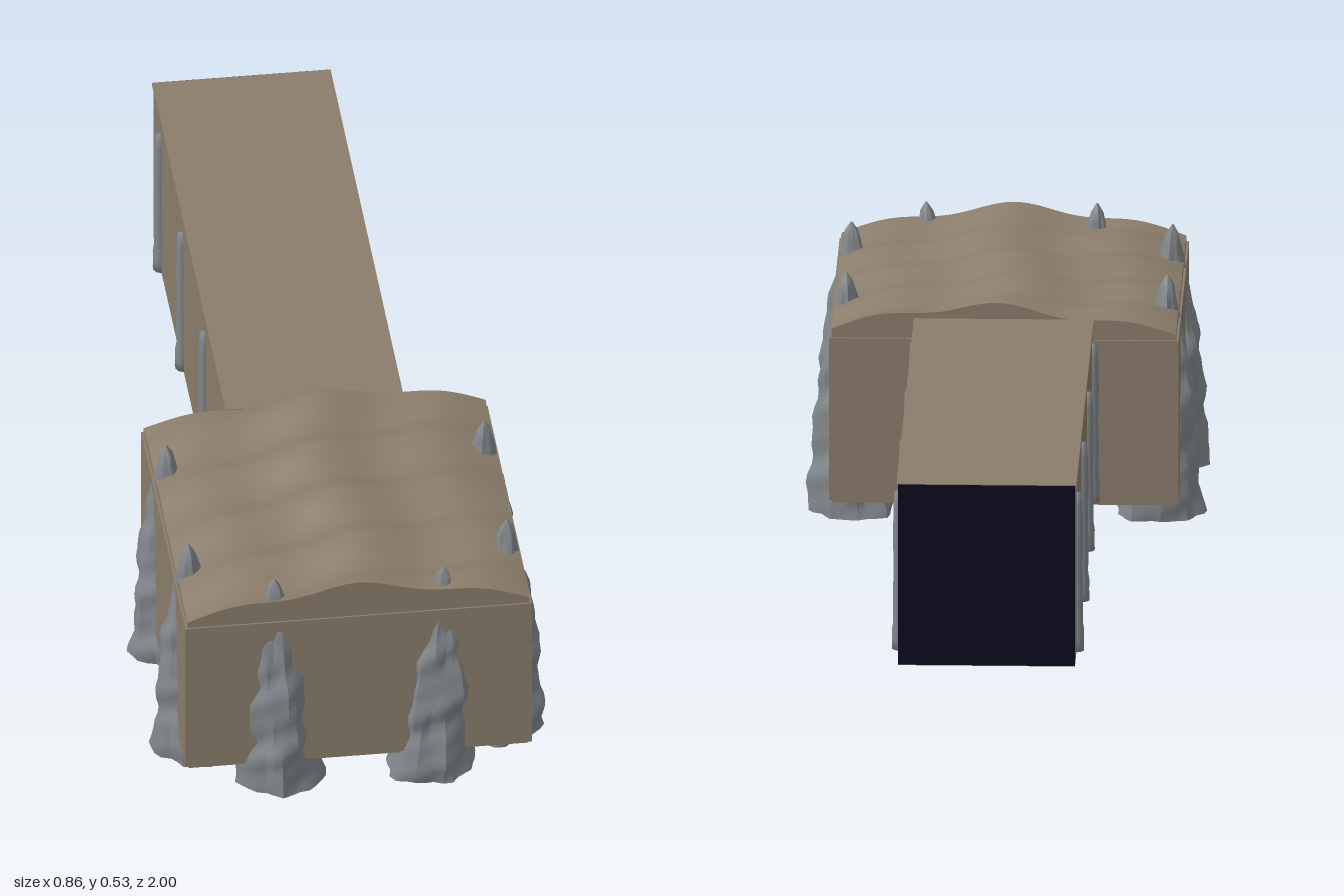
import * as THREE from 'three';
import { toCreasedNormals, mergeVertices } from 'three/addons/utils/BufferGeometryUtils.js';

const mat = (name, color) => Object.assign(new THREE.MeshStandardMaterial({ color }), { name });

export function createModel() {
  const root = new THREE.Group();
  root.name = 'caveChamber';
  const earth = mat('brown earth', 0x8b7d6b);
  const rock = mat('grey rock', 0x82878b);
  const dark = mat('dark opening', 0x0a0a1e);

  const add = (name, geo, material, x = 0, y = 0, z = 0, parent = root) => {
    const m = new THREE.Mesh(geo, material);
    m.name = name;
    m.position.set(x, y, z);
    parent.add(m);
    return m;
  };
  // box given by its limits
  const block = (name, material, x0, x1, y0, y1, z0, z1) =>
    add(name, new THREE.BoxGeometry(x1 - x0, y1 - y0, z1 - z0), material,
      (x0 + x1) / 2, (y0 + y1) / 2, (z0 + z1) / 2);

  // Chamber and passage
  block('chamberWalls', earth, -0.378, 0.372, 0.074, 0.437, 0.22, 0.958);
  block('chamberFloor', earth, -0.37, 0.365, 0.067, 0.075, 0.225, 0.952);
  block('passageWalls', earth, -0.193, 0.187, 0.075, 0.476, -0.997, 0.23);
  block('passageRoof', earth, -0.196, 0.19, 0.474, 0.482, -0.997, 0.225);
  block('passageEnd', dark, -0.193, 0.187, 0.077, 0.48, -1, -0.996);

  // Vaulted roof with slanting ripples; only the top of the box is moved
  const roofGeo = new THREE.BoxGeometry(0.74, 0.02, 0.73, 48, 1, 48);
  const rp = roofGeo.attributes.position;
  for (let i = 0; i < rp.count; i++) {
    if (rp.getY(i) < 0) { rp.setY(i, 0); continue; }
    const x = rp.getX(i), z = rp.getZ(i);
    const vault = Math.pow(Math.max(0, Math.cos(x * Math.PI / 0.76)), 0.75);
    const ripple = Math.cos((z - 0.365 + x * 0.18) * Math.PI * 2 / 0.175);
    const swell = Math.cos(x * Math.PI * 2 / 0.29 + 0.6 * Math.sin((z - 0.365) * 9));
    rp.setY(i, 0.014 + 0.052 * vault + (0.004 + 0.007 * vault) * ripple + (0.003 + 0.007 * vault) * swell);
  }
  roofGeo.computeVertexNormals();
  add('rippledRoof', roofGeo, earth, -0.003, 0.436, 0.589);

  // Rock showing through the underside
  const patch = (name, pts) => {
    const curve = new THREE.CatmullRomCurve3(pts.map(([x, z]) => new THREE.Vector3(x, z, 0)), true);
    const shape = new THREE.Shape(curve.getPoints(40).map((p) => new THREE.Vector2(p.x, p.y)));
    const geo = new THREE.ExtrudeGeometry(shape, { depth: 0.002, bevelEnabled: false });
    add(name, geo.rotateX(Math.PI / 2), rock, 0, 0.0675, 0);
  };
  block('passageFloorRock', rock, -0.165, 0.16, 0.065, 0.0755, -0.13, 0.25);
  patch('floorPatchLong', [[-0.17, 0.235], [0.16, 0.235], [0.13, 0.3], [0.02, 0.28], [-0.06, 0.34],
    [-0.1, 0.46], [-0.12, 0.6], [-0.17, 0.72], [-0.21, 0.86], [-0.27, 0.8], [-0.24, 0.64], [-0.2, 0.5], [-0.24, 0.36]]);
  patch('floorPatchMiddle', [[-0.02, 0.6], [0.07, 0.58], [0.08, 0.66], [0.02, 0.73], [-0.06, 0.7]]);
  patch('floorPatchSide', [[0.17, 0.42], [0.24, 0.4], [0.25, 0.52], [0.2, 0.6], [0.14, 0.53]]);
  patch('floorPatchFront', [[0.1, 0.82], [0.2, 0.78], [0.22, 0.86], [0.12, 0.9]]);

  // Craggy tapering spire, with fluted sides and a shoulder on one side
  const profile = [[0, 0.09], [0.06, 0.085], [0.13, 0.077], [0.21, 0.071], [0.29, 0.062],
    [0.36, 0.048], [0.42, 0.034], [0.47, 0.023], [0.51, 0.014], [0.53, 0.002]];
  const radiusAt = (y) => {
    let i = 0;
    while (i < profile.length - 2 && profile[i + 1][0] < y) i++;
    const [a, ra] = profile[i], [b, rb] = profile[i + 1];
    return ra + (rb - ra) * (y - a) / (b - a);
  };
  const spireGeo = (seed) => {
    let geo = new THREE.CylinderGeometry(1, 1, 0.53, 28, 26);
    geo.translate(0, 0.265, 0);
    const p = geo.attributes.position;
    for (let i = 0; i < p.count; i++) {
      const x = p.getX(i), y = p.getY(i), z = p.getZ(i);
      const len = Math.hypot(x, z);
      if (len < 0.5) continue;
      const t = Math.atan2(z, x);
      const flutes = 0.06 * Math.sin(5 * t + seed + 6 * y) + 0.05 * Math.sin(9 * t - 14 * y + seed * 2);
      const ledges = 0.05 * Math.sin(46 * y + 2 * t + seed) + 0.035 * Math.sin(85 * y + 3 * t);
      const shoulder = 0.16 * Math.max(0, Math.cos(t)) * Math.exp(-(((y - 0.23) / 0.06) ** 2));
      const r = radiusAt(y) * (1 + flutes + ledges + shoulder);
      p.setXYZ(i, r * x / len, y, r * z / len);
    }
    geo.deleteAttribute('uv');
    geo.deleteAttribute('normal');
    geo = mergeVertices(geo, 1e-5);
    return toCreasedNormals(geo, 0.6);
  };
  // base x, base z, lean in x, lean in z, turn
  const spires = [
    [-0.17, 0.9, -0.012, 0.027, 0], [0.157, 0.9, 0.028, 0.027, 0],
    [-0.332, 0.77, -0.017, 0.005, 1.6], [-0.332, 0.405, -0.017, 0, 1.4],
    [0.329, 0.77, 0.012, 0.005, -1.6], [0.329, 0.405, 0.012, 0, -1.4],
  ];
  spires.forEach(([x, z, lx, lz, turn], i) => {
    const geo = spireGeo(i * 1.7);
    geo.rotateY(turn);
    const p = geo.attributes.position;
    for (let k = 0; k < p.count; k++) {
      const h = p.getY(k) / 0.53;
      p.setX(k, p.getX(k) + lx * h);
      p.setZ(k, p.getZ(k) + lz * h);
    }
    add(i < 2 ? 'frontSpire' : 'sideSpire', geo, rock, x, 0, z);
  });

  // Slim rock ribs along the passage
  const ribProfile = [[0, 0.078], [0.02, 0.078], [0.019, 0.1], [0.02, 0.12], [0.016, 0.14], [0.017, 0.2],
    [0.015, 0.26], [0.017, 0.33], [0.015, 0.4], [0.013, 0.428], [0, 0.432]];
  const ribGeo = new THREE.LatheGeometry(ribProfile.map(([r, y]) => new THREE.Vector2(r, y)), 10);
  for (const x of [-0.195, 0.189])
    for (const z of [0.215, -0.14, -0.51, -0.88])
      add('passageRib', ribGeo, rock, x, 0, z).scale.x = 0.75;

  return root;
}
